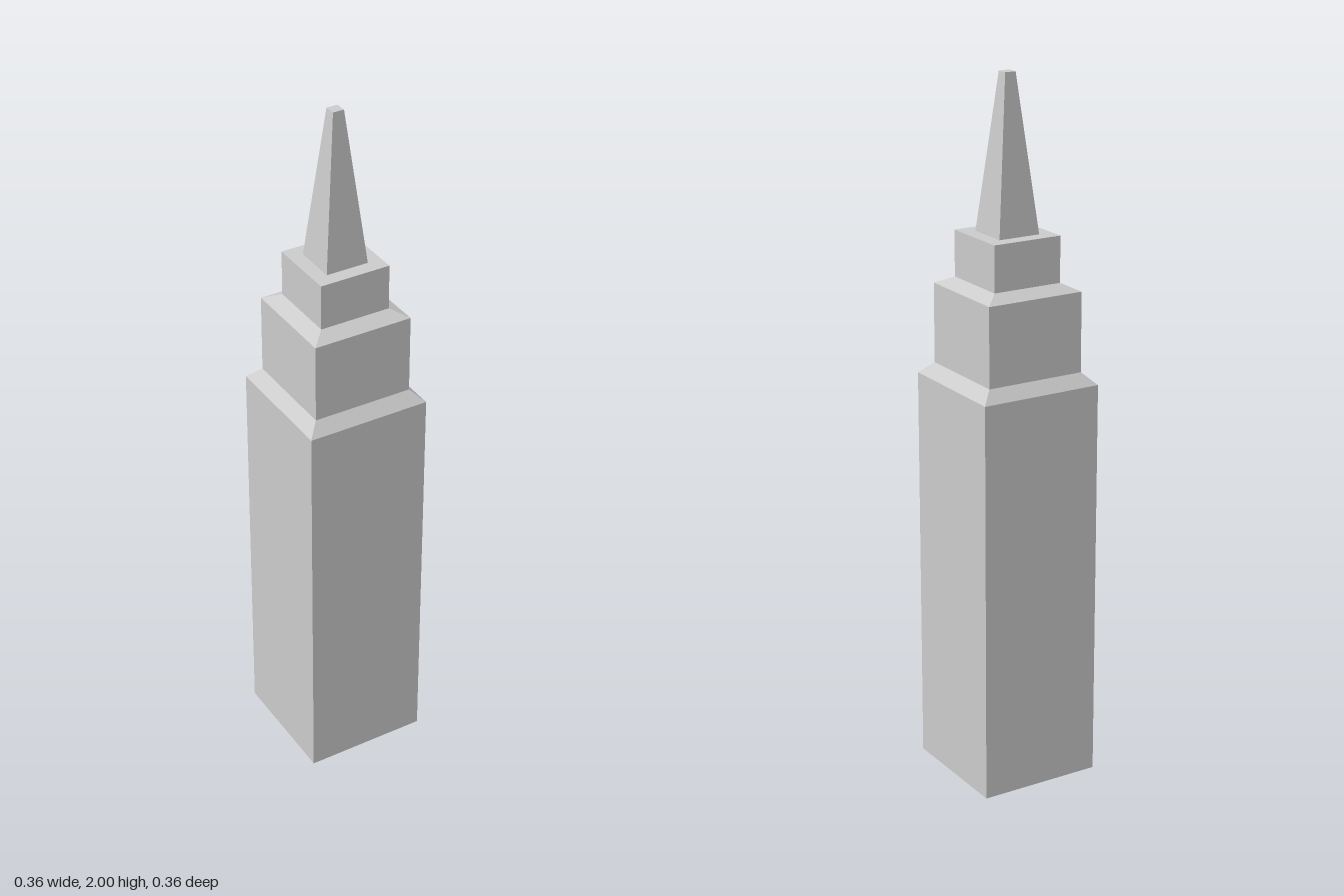
import * as THREE from 'three';

const material = new THREE.MeshStandardMaterial({ color: 0xcccccc, flatShading: true });

// Square tier: sweeps a profile of [half width, height] points around four sides
function squareTier(name, profile) {
  const points = profile.map(([half, y]) => new THREE.Vector2(half * Math.SQRT2, y));
  const geometry = new THREE.LatheGeometry(points, 4, Math.PI / 4).toNonIndexed();
  geometry.computeVertexNormals();
  const mesh = new THREE.Mesh(geometry, material);
  mesh.name = name;
  return mesh;
}

export function createModel() {
  const tower = new THREE.Group();
  tower.name = 'tower';
  tower.add(
    // Tall shaft with closed underside and sloped shoulder
    squareTier('mainShaft', [[0, 0], [0.179, 0], [0.179, 1.157], [0.145, 1.19]]),
    // Narrower block with a shallow sloped roof
    squareTier('middleTier', [[0.145, 1.19], [0.145, 1.416], [0.103, 1.437]]),
    // Small block with a flat roof
    squareTier('upperTier', [[0.103, 1.437], [0.103, 1.567], [0, 1.567]]),
    // Tapering spire with a blunt tip
    squareTier('spire', [[0.062, 1.567], [0.016, 2], [0, 2]]),
  );
  return tower;
}
